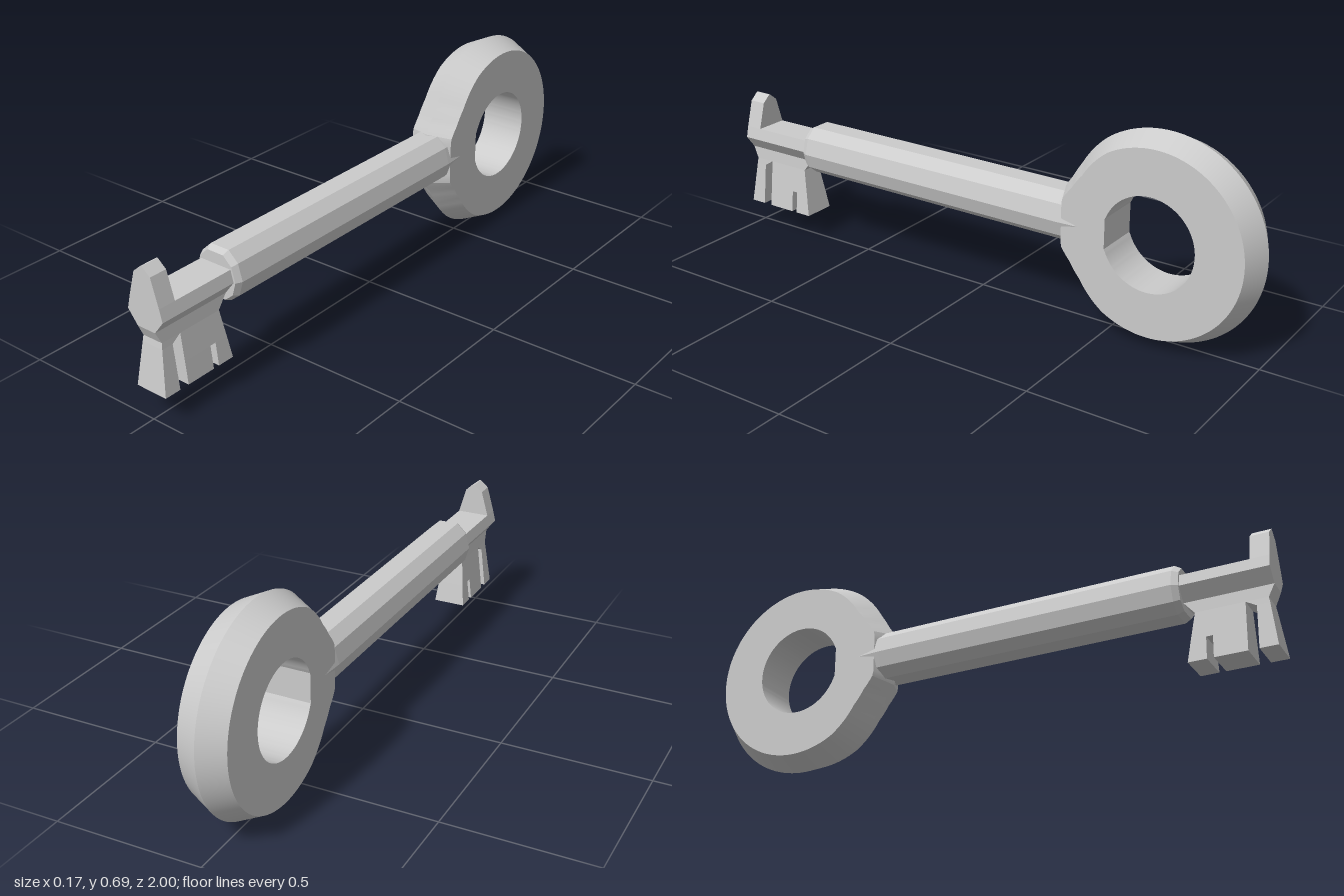
import * as THREE from 'three';
import { toCreasedNormals } from 'three/addons/utils/BufferGeometryUtils.js';

const CY = 0.35;      // height of the key's axis
const RING_Z = -0.657; // centre of the bow ring

// Skin a run of cross-sections; rings run counter-clockwise seen from the far end.
function loft(rings, wrap = false) {
  const pos = [];
  const tri = (...pts) => pts.forEach((p) => pos.push(...p));
  const n = rings[0].length;
  const last = wrap ? rings.length : rings.length - 1;
  for (let i = 0; i < last; i++) {
    const lower = rings[i], upper = rings[(i + 1) % rings.length];
    for (let j = 0; j < n; j++) {
      const k = (j + 1) % n;
      tri(lower[j], lower[k], upper[k]);
      tri(lower[j], upper[k], upper[j]);
    }
  }
  if (!wrap) {
    const a = rings[0], b = rings[rings.length - 1];
    for (let j = 1; j < n - 1; j++) {
      tri(a[0], a[j + 1], a[j]);
      tri(b[0], b[j], b[j + 1]);
    }
  }
  const g = new THREE.BufferGeometry();
  g.setAttribute('position', new THREE.Float32BufferAttribute(pos, 3));
  g.computeVertexNormals();
  return g;
}

// Piecewise-linear lookup through [input, output] pairs
function lookup(t, pairs) {
  for (let i = 1; i < pairs.length; i++) {
    const [t0, v0] = pairs[i - 1], [t1, v1] = pairs[i];
    if (t <= t1) return THREE.MathUtils.mapLinear(t, t0, t1, v0, v1);
  }
  return pairs[pairs.length - 1][1];
}

// Bow: ridged ring drawn out slightly where it meets the shaft
function bowGeometry() {
  const rings = [], steps = 120, h = 0.08;
  for (let i = 0; i < steps; i++) {
    const deg = -180 + (i * 360) / steps;
    const a = THREE.MathUtils.degToRad(deg), d = Math.abs(deg), c = Math.cos(a);
    const ridge = d < 14 ? 0.345 / c : lookup(d, [[14, 0.355], [22, 0.341], [32, 0.336], [55, 0.343]]);
    const edge = d < 14 ? 0.309 / c : lookup(d, [[14, 0.318], [24, 0.301], [36, 0.294], [60, 0.305]]);
    const hole = d < 19 ? 0.155 / c : 0.155 + 0.007 * c;
    const at = (x, r) => [x, CY + r * Math.sin(a), RING_Z + r * c];
    rings.push([at(-h, hole), at(-h, edge), at(0, ridge), at(h, edge), at(h, hole)]);
  }
  return toCreasedNormals(loft(rings, true), 0.3);
}

// Shaft: eight-sided bar, tapered into the bow and chamfered at the bit
function shaftGeometry() {
  const half = [[0.035, -0.078], [0.07, -0.05], [0.085, 0], [0.07, 0.055], [0.035, 0.088]];
  const section = [...half, ...half.slice().reverse().map(([x, y]) => [-x, y])];
  const stations = [[-0.49, 0.88], [-0.33, 1], [0.7, 1], [0.72, 0.88]];
  return loft(stations.map(([z, s]) => section.map(([x, y]) => [x * s, CY + y * s, z])));
}

// Bit pieces: stacked levels of [y, half width, back z, front z]
function stackGeometry(levels) {
  return loft(levels.map(([y, x, b, f]) => [[-x, y, b], [-x, y, f], [x, y, f], [x, y, b]]));
}

export function createModel() {
  const group = new THREE.Group();
  const flat = new THREE.MeshStandardMaterial({ color: 0xcccccc, flatShading: true });
  const smooth = new THREE.MeshStandardMaterial({ color: 0xcccccc });
  const add = (name, geometry, material = flat) => {
    const mesh = new THREE.Mesh(geometry, material);
    mesh.name = name;
    group.add(mesh);
  };

  add('bowRing', bowGeometry(), smooth);
  add('shaft', shaftGeometry());

  // Neck and upright post at the tip
  add('bitNeck', stackGeometry([
    [0.265, 0.037, 0.754, 0.98], [0.306, 0.034, 0.72, 1],
    [0.35, 0.068, 0.7, 1], [0.39, 0.058, 0.7, 1],
  ]));
  add('tipPost', stackGeometry([
    [0.39, 0.058, 0.94, 1], [0.48, 0.032, 0.94, 1], [0.505, 0.002, 0.94, 1],
  ]));

  // Teeth flare downward, split by a deep slot and a short one
  add('frontTooth', stackGeometry([
    [0.1, 0.057, 0.943, 1], [0.245, 0.039, 0.943, 0.983], [0.265, 0.037, 0.91, 0.98],
  ]));
  add('toothRoot', stackGeometry([[0.175, 0.048, 0.739, 0.91], [0.265, 0.037, 0.754, 0.91]]));
  add('middleTooth', stackGeometry([[0.1, 0.057, 0.807, 0.91], [0.175, 0.048, 0.807, 0.91]]));
  add('backTooth', stackGeometry([[0.1, 0.057, 0.727, 0.786], [0.175, 0.048, 0.739, 0.786]]));

  return group;
}
